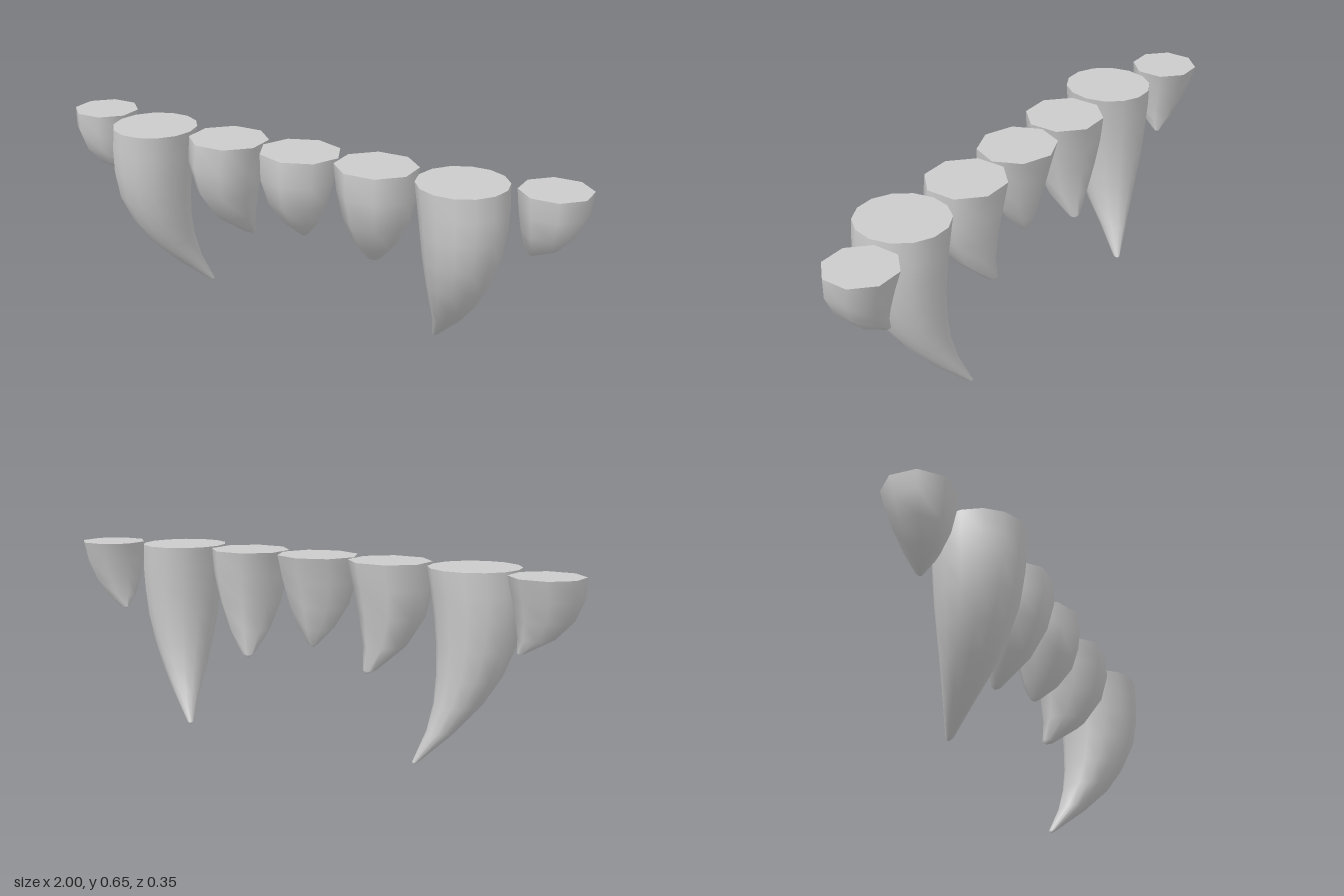
import * as THREE from 'three';

const material = new THREE.MeshStandardMaterial({ color: 0xcccccc });

// Each profile row: [y, inner x, outer x, back z, front z]; tip: [x, y, z]
const incisor = {
  sides: 8, turn: 0, tip: [0, 0.325, -0.02],
  rows: [
    [0.65, -0.148, 0.148, -0.127, 0.145],
    [0.56, -0.138, 0.138, -0.102, 0.15],
    [0.47, -0.109, 0.109, -0.082, 0.125],
    [0.39, -0.063, 0.063, -0.062, 0.067],
    [0.335, -0.016, 0.016, -0.036, -0.002],
  ],
};
const premolar = {
  sides: 8, turn: 0.5, tip: [0.25, 0.267, -0.068],
  rows: [
    [0.65, 0.157, 0.425, -0.12, 0.137],
    [0.56, 0.173, 0.425, -0.108, 0.143],
    [0.46, 0.193, 0.404, -0.093, 0.12],
    [0.36, 0.216, 0.353, -0.082, 0.06],
    [0.28, 0.234, 0.277, -0.083, -0.042],
  ],
};
const fang = {
  sides: 14, turn: 0, tip: [0.472, 0, -0.132],
  rows: [
    [0.65, 0.45, 0.757, -0.14, 0.175],
    [0.57, 0.463, 0.762, -0.135, 0.175],
    [0.49, 0.475, 0.759, -0.128, 0.172],
    [0.39, 0.486, 0.743, -0.121, 0.157],
    [0.29, 0.493, 0.707, -0.115, 0.117],
    [0.2, 0.496, 0.655, -0.115, 0.065],
    [0.11, 0.489, 0.585, -0.122, -0.015],
    [0.01, 0.464, 0.485, -0.14, -0.114],
  ],
};
const molar = {
  sides: 8, turn: 0.5, tip: [0.812, 0.4, -0.085],
  rows: [
    [0.65, 0.775, 1.0, -0.174, 0.047],
    [0.58, 0.785, 0.995, -0.153, 0.045],
    [0.51, 0.795, 0.965, -0.131, 0.028],
    [0.45, 0.803, 0.91, -0.112, -0.01],
    [0.405, 0.805, 0.83, -0.096, -0.076],
  ],
};

// Lofts rings down to the tip, then closes the flat root with its own vertices
function toothGeometry({ sides, turn, tip, rows }, side) {
  const positions = [], index = [];
  const stretch = 1 / Math.cos(turn * 2 * Math.PI / sides); // polygon fills its extents
  const addRing = ([y, inner, outer, back, front]) => {
    for (let j = 0; j < sides; j++) {
      const a = (j + turn) / sides * Math.PI * 2;
      positions.push(
        side * (inner + outer) / 2 + (outer - inner) / 2 * stretch * Math.cos(a),
        y,
        (back + front) / 2 + (front - back) / 2 * stretch * Math.sin(a));
    }
  };
  rows.forEach(addRing);
  const tipIndex = positions.length / 3;
  positions.push(side * tip[0], tip[1], tip[2]);
  const capStart = tipIndex + 1;
  addRing(rows[0]);
  for (let j = 0; j < sides; j++) {
    const k = (j + 1) % sides;
    for (let i = 0; i < rows.length - 1; i++) {
      const top = i * sides, low = top + sides;
      index.push(top + j, top + k, low + j, top + k, low + k, low + j);
    }
    const last = (rows.length - 1) * sides;
    index.push(last + j, last + k, tipIndex);
    if (j > 0 && j < sides - 1) index.push(capStart, capStart + k, capStart + j);
  }
  const geometry = new THREE.BufferGeometry();
  geometry.setAttribute('position', new THREE.Float32BufferAttribute(positions, 3));
  geometry.setIndex(index);
  geometry.computeVertexNormals();
  return geometry;
}

export function createModel() {
  const model = new THREE.Group();
  model.name = 'teeth';
  const addTooth = (name, profile, side) => {
    const mesh = new THREE.Mesh(toothGeometry(profile, side), material);
    mesh.name = name;
    model.add(mesh);
  };
  addTooth('centreIncisor', incisor, 1);
  // Mirrored pairs, the model's left is +x
  for (const [prefix, side] of [['left', 1], ['right', -1]]) {
    addTooth(prefix + 'Premolar', premolar, side);
    addTooth(prefix + 'Fang', fang, side);
    addTooth(prefix + 'Molar', molar, side);
  }
  return model;
}
